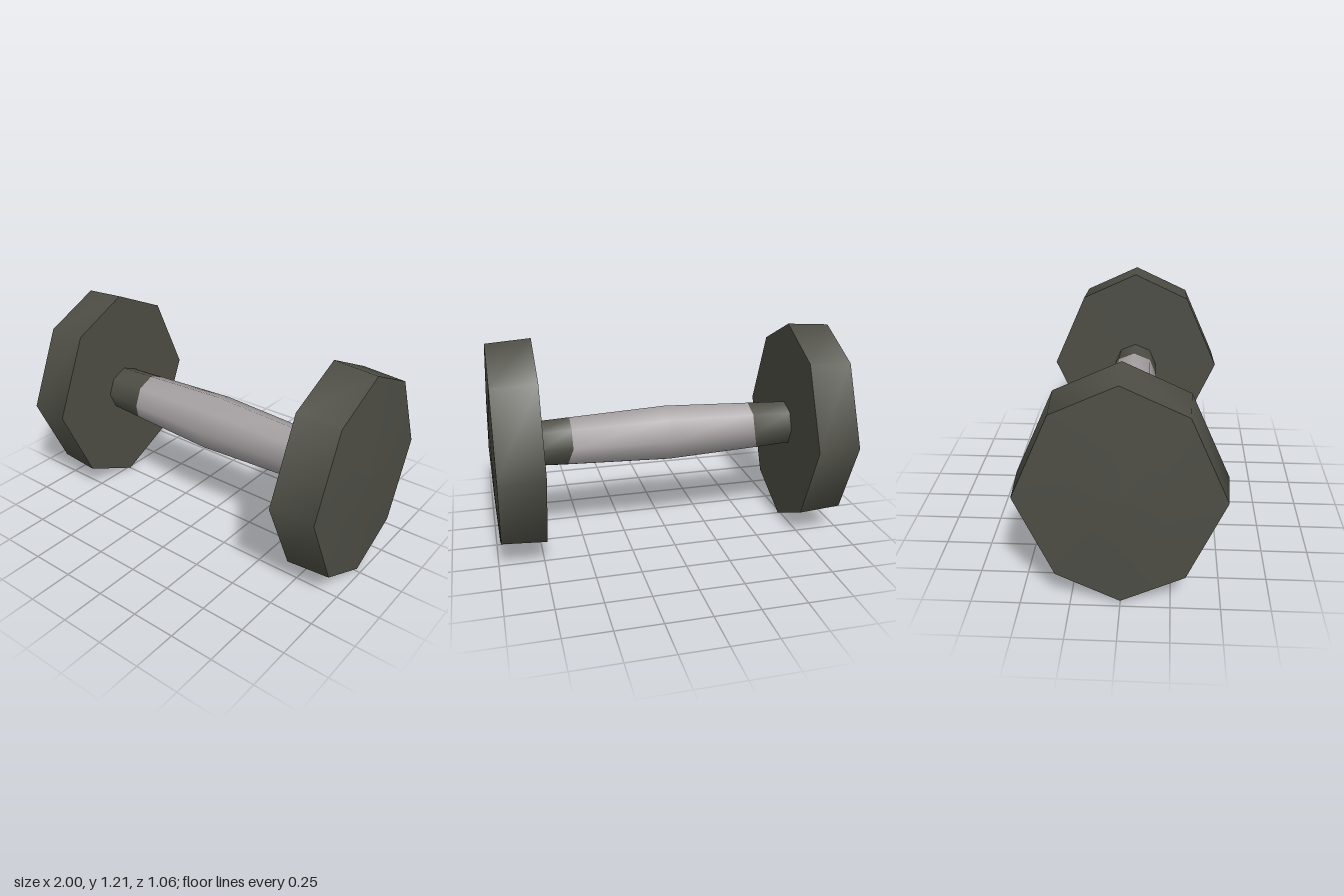
import * as THREE from 'three';

// Octagon of the weights as (y, z), starting at the top and turning towards +z
const OCTAGON = [[0.603, 0], [0.448, 0.331], [0, 0.528], [-0.445, 0.331],
  [-0.603, 0], [-0.445, -0.331], [0, -0.528], [0.448, -0.331]];
const CENTRE_Y = 0.605;

// Regular octagon of the handle, radius 1
const ROUND = Array.from({ length: 8 }, (_, i) => {
  const a = (i * Math.PI) / 4;
  return [Math.cos(a), Math.sin(a)];
});

// Skin along x: stations are [x, scale], shift moves x depending on height
function loft(section, stations, shift = () => 0) {
  const n = section.length;
  const pos = [];
  const index = [];
  stations.forEach(([x, s], i) => {
    section.forEach(([y, z], j) => {
      pos.push(x + shift(i, y), y * s, z * s);
      if (i === stations.length - 1) return;
      const a = i * n + j;
      const b = i * n + ((j + 1) % n);
      index.push(a, b, a + n, b, b + n, a + n);
    });
  });
  const geometry = new THREE.BufferGeometry();
  geometry.setAttribute('position', new THREE.Float32BufferAttribute(pos, 3));
  geometry.setIndex(index);
  geometry.computeVertexNormals();
  return geometry;
}

export function createModel() {
  const rubber = new THREE.MeshStandardMaterial({ color: 0x4e4e46 });
  rubber.name = 'dark rubber';
  const metal = new THREE.MeshStandardMaterial({ color: 0xa5a0a1 });
  metal.name = 'grey grip';

  const model = new THREE.Group();
  model.name = 'dumbbell';
  const add = (parent, name, geometry, material) => {
    const mesh = new THREE.Mesh(geometry, material);
    mesh.name = name;
    parent.add(mesh);
  };

  // Weights: flat inner face, slightly tapered rim, shallow domed outer face
  for (const side of ['left', 'right']) {
    const weight = new THREE.Group();
    weight.name = side + 'Weight';
    weight.position.y = CENTRE_Y;
    if (side === 'right') weight.rotation.y = Math.PI;
    add(weight, 'innerFace', loft(OCTAGON, [[0.735, 0.002], [0.735, 1]]), rubber);
    add(weight, 'rim', loft(OCTAGON, [[0.735, 1], [0.98, 0.972]]), rubber);
    add(weight, 'outerFace', loft(OCTAGON, [[0.98, 0.972], [0.992, 0.5], [1, 0.002]]), rubber);
    model.add(weight);
  }

  // Handle: swells in the middle, with dark collars beside the weights
  const handle = new THREE.Group();
  handle.name = 'handle';
  handle.position.y = CENTRE_Y;
  const radius = (x) => 0.165 - 0.044 * Math.abs(x);
  const stations = (...xs) => xs.map((x) => [x, radius(x)]);
  const droop = (y) => 0.04 * Math.max(0, -y); // collar line bends outwards below
  add(handle, 'grip', loft(ROUND, stations(-0.505, 0, 0.55),
    (i, y) => (i - 1) * droop(y)), metal);
  add(handle, 'rightCollar', loft(ROUND, stations(-0.745, -0.505),
    (i, y) => (i === 1 ? -droop(y) : 0)), rubber);
  add(handle, 'leftCollar', loft(ROUND, stations(0.55, 0.745),
    (i, y) => (i === 0 ? droop(y) : 0)), rubber);
  model.add(handle);

  return model;
}
